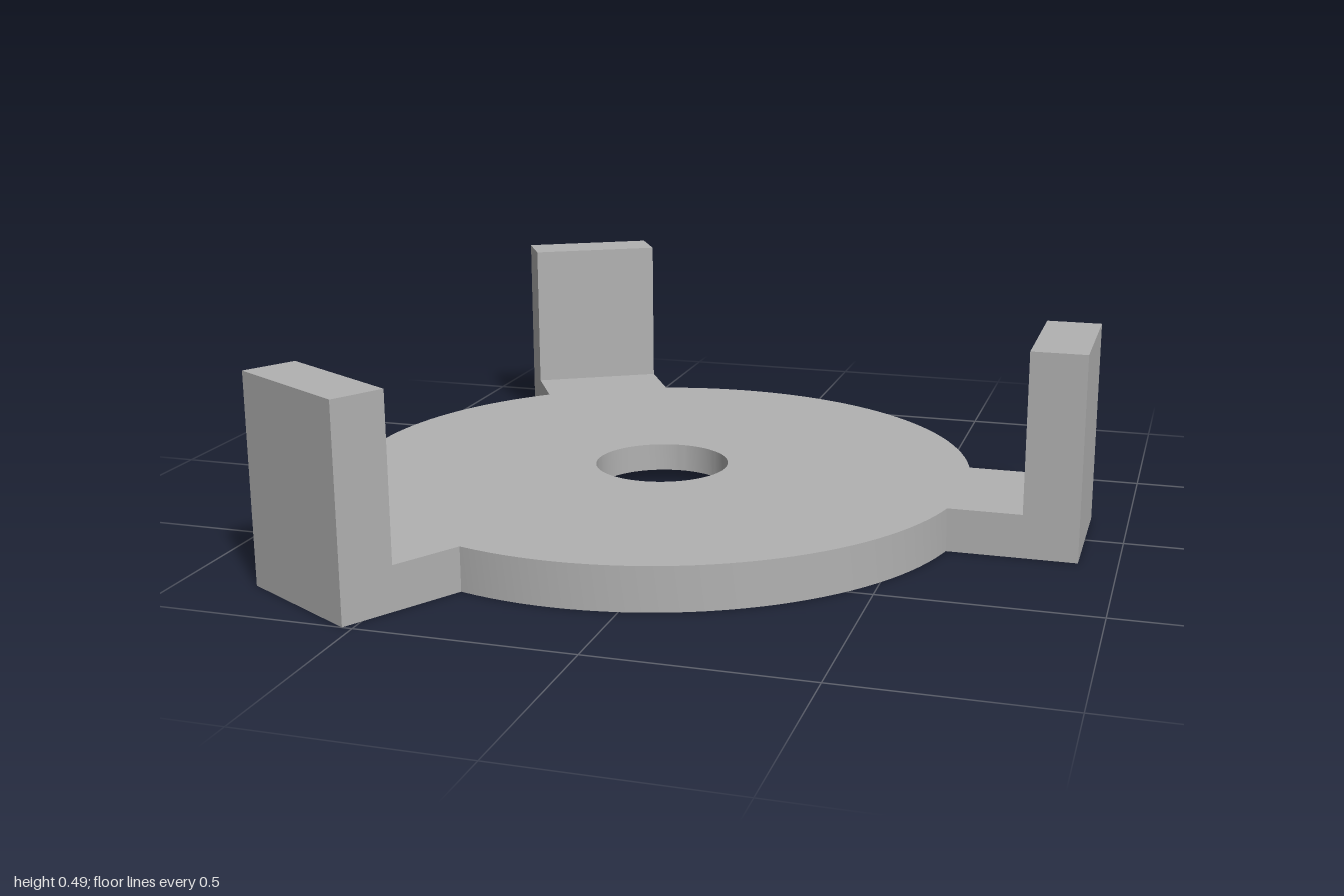
import * as THREE from 'three';
import { toCreasedNormals } from 'three/addons/utils/BufferGeometryUtils.js';

const CENTRE_X = -0.145;
const PLATE_R = 0.77, HOLE_R = 0.166, RECESS_R = 0.703;
const PLATE_H = 0.105, RECESS_H = 0.036;
const ARM_W = 0.344, ARM_END = 1.055, POST_IN = 0.925, POST_H = 0.49;

export function createModel() {
  const model = new THREE.Group();
  model.name = 'threeArmHolder';
  const grey = new THREE.MeshStandardMaterial({ color: 0xb2b2b2 });
  grey.name = 'grey';

  // Round plate with a centre hole and a shallow recess underneath
  const profile = [
    [RECESS_R, 0], [PLATE_R, 0], [PLATE_R, PLATE_H], [HOLE_R, PLATE_H],
    [HOLE_R, RECESS_H], [RECESS_R, RECESS_H], [RECESS_R, 0],
  ].map(([r, y]) => new THREE.Vector2(r, y));
  const plate = new THREE.Mesh(toCreasedNormals(new THREE.LatheGeometry(profile, 128), 0.5), grey);
  plate.name = 'plate';
  plate.position.x = CENTRE_X;
  model.add(plate);

  // L-shaped arms: a flat tab ending in an upright post
  const inner = Math.sqrt(PLATE_R ** 2 - (ARM_W / 2) ** 2);
  const side = new THREE.Shape([
    [inner, 0], [ARM_END, 0], [ARM_END, POST_H], [POST_IN, POST_H],
    [POST_IN, PLATE_H], [inner, PLATE_H],
  ].map(([x, y]) => new THREE.Vector2(x, y)));
  const armGeometry = new THREE.ExtrudeGeometry(side, { depth: ARM_W, bevelEnabled: false });
  armGeometry.translate(0, 0, -ARM_W / 2);

  ['leftArm', 'backArm', 'frontArm'].forEach((name, i) => {
    const arm = new THREE.Mesh(armGeometry, grey);
    arm.name = name;
    arm.position.x = CENTRE_X;
    arm.rotation.y = (i * Math.PI * 2) / 3;
    model.add(arm);
  });

  return model;
}
